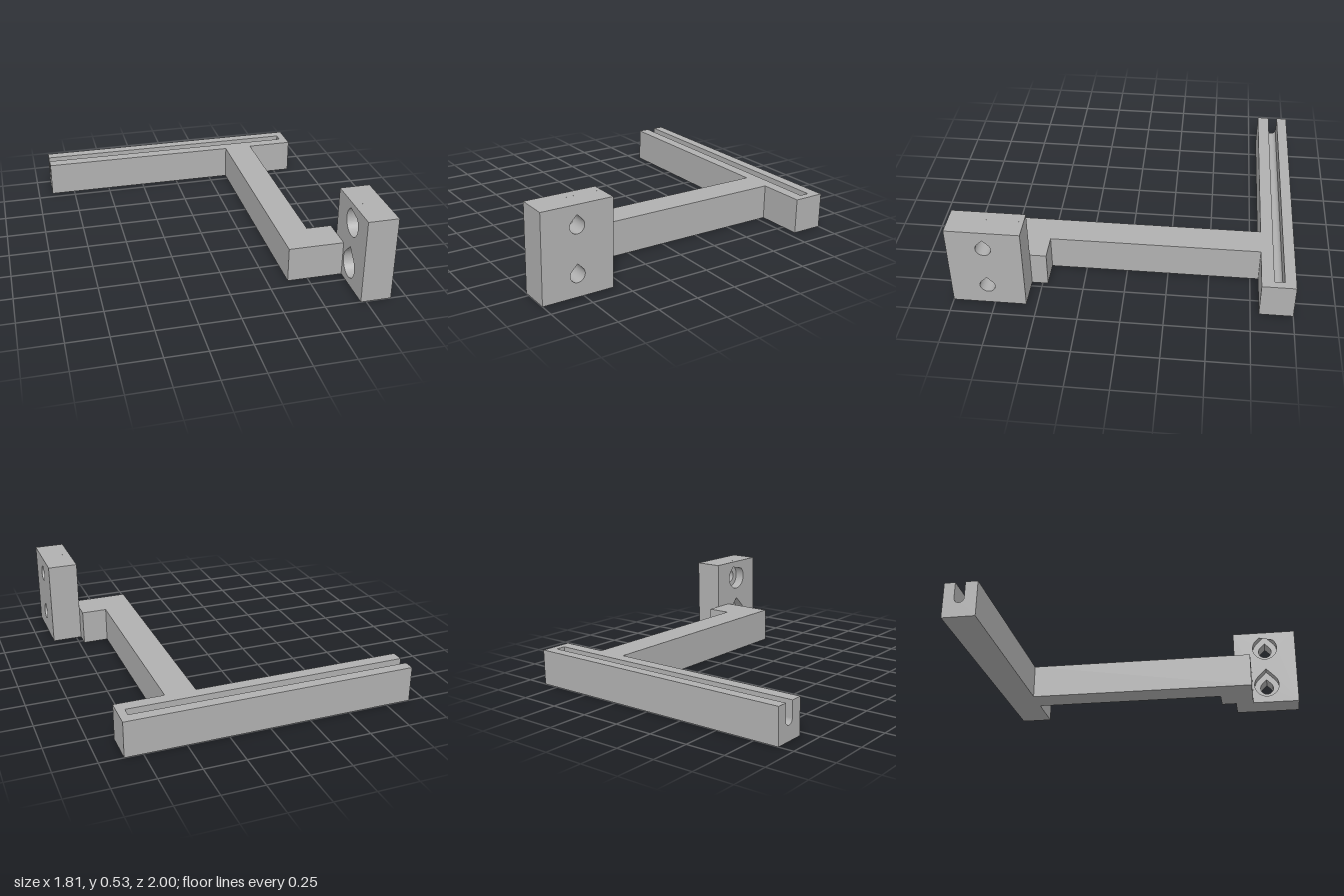
import * as THREE from 'three';

const HEIGHT = 0.22;

// Closed shape from a list of corner points
const polygon = (points) => new THREE.Shape(points.map(([a, b]) => new THREE.Vector2(a, b)));

// Extrudes a profile drawn in (-z, y) along x, from x0 to x1
function extrudeAlongX(shape, x0, x1) {
  const geometry = new THREE.ExtrudeGeometry(shape, { depth: x1 - x0, bevelEnabled: false, curveSegments: 24 });
  return geometry.rotateY(Math.PI / 2).translate(x0, 0, 0);
}

// Round hole with a pointed roof
function teardrop(u, v, r) {
  const path = new THREE.Path();
  path.absarc(u, v, r, Math.PI / 4, Math.PI * 0.75, true);
  path.lineTo(u, v + r * Math.SQRT2);
  path.closePath();
  return path;
}

// Plate profile pierced by two teardrop holes
function plateShape(holeRadius) {
  const shape = polygon([[-1, 0], [-0.565, 0], [-0.565, 0.53], [-1, 0.53]]);
  for (const y of [0.13, 0.41]) shape.holes.push(teardrop(-0.785, y, holeRadius));
  return shape;
}

export function createModel() {
  const model = new THREE.Group();
  const grey = new THREE.MeshStandardMaterial({ color: 0xb0b0b0 });
  grey.name = 'grey plastic';

  const add = (name, geometry) => {
    const mesh = new THREE.Mesh(geometry, grey);
    mesh.name = name;
    model.add(mesh);
  };

  // Rail with a round-bottomed slot, open at one end
  const rail = new THREE.Shape();
  rail.moveTo(0.8, 0);
  rail.lineTo(1, 0);
  rail.lineTo(1, HEIGHT);
  rail.lineTo(0.934, HEIGHT);
  rail.lineTo(0.934, 0.12);
  rail.absarc(0.904, 0.12, 0.03, 0, Math.PI, true);
  rail.lineTo(0.874, HEIGHT);
  rail.lineTo(0.8, HEIGHT);
  rail.closePath();
  add('slottedRail', extrudeAlongX(rail, -0.905, 0.81));
  const railEnd = polygon([[0.8, 0], [1, 0], [1, HEIGHT], [0.8, HEIGHT]]);
  add('railEnd', extrudeAlongX(railEnd, 0.81, 0.858));

  // Arm with a sideways foot, drawn in plan (x, z)
  const arm = polygon([
    [0.375, -0.8], [0.56, -0.8], [0.56, 0.467], [0.718, 0.467], [0.718, 0.685], [0.375, 0.685],
  ]);
  const armGeometry = new THREE.ExtrudeGeometry(arm, { depth: HEIGHT, bevelEnabled: false });
  add('arm', armGeometry.rotateX(Math.PI / 2).translate(0, HEIGHT, 0));

  // Mounting plate: wide screw-head recesses inside, narrow holes outside
  add('plateRecessLayer', extrudeAlongX(plateShape(0.085), 0.718, 0.785));
  add('plateOuterLayer', extrudeAlongX(plateShape(0.045), 0.785, 0.905));

  return model;
}
